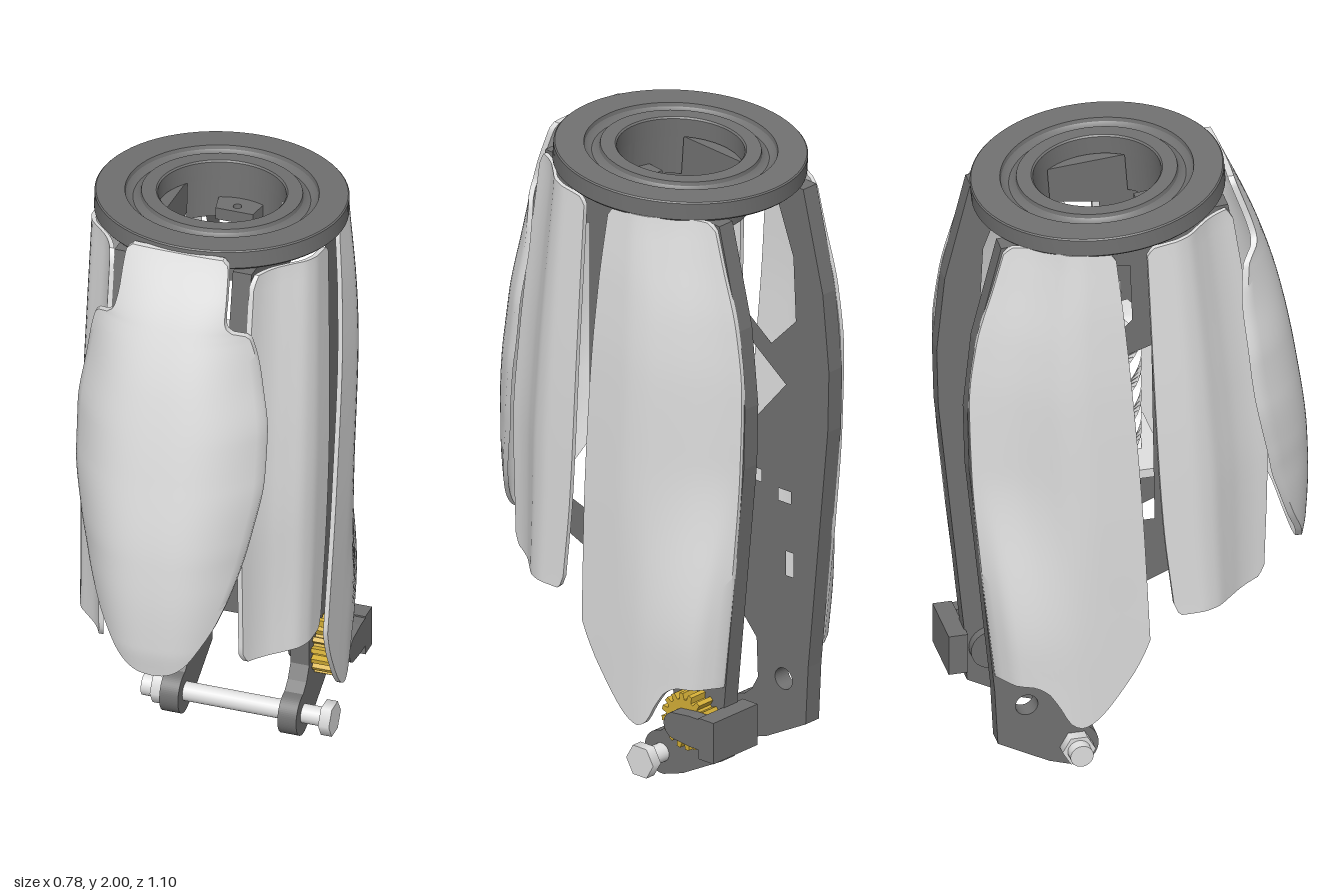
import * as THREE from 'three';
import { toCreasedNormals } from 'three/addons/utils/BufferGeometryUtils.js';

// smooth monotone interpolation through [position, value] pairs
function at(table, p) {
  const n = table.length - 1;
  if (p <= table[0][0]) return table[0][1];
  if (p >= table[n][0]) return table[n][1];
  let i = 0;
  while (p > table[i + 1][0]) i++;
  const slope = k => (table[k + 1][1] - table[k][1]) / (table[k + 1][0] - table[k][0]);
  const tangent = k => {
    if (k === 0) return slope(0);
    if (k === n) return slope(n - 1);
    const a = slope(k - 1), b = slope(k);
    return a * b <= 0 ? 0 : 2 * a * b / (a + b);
  };
  const h = table[i + 1][0] - table[i][0], u = (p - table[i][0]) / h, w = 1 - u;
  return table[i][1] * (1 + 2 * u) * w * w + table[i + 1][1] * u * u * (3 - 2 * u)
    + h * u * w * (tangent(i) * w - tangent(i + 1) * u);
}

// thin curved panel: point(t, v) gives the outer skin, offset the inner skin
function panel(point, offset, nt = 28, nv = 44) {
  const pos = [], index = [], loop = 2 * (nt + 1);
  for (let j = 0; j <= nv; j++) {
    for (let k = 0; k < loop; k++) {
      const inner = k > nt, i = inner ? loop - 1 - k : k;
      const p = point(i / nt, j / nv);
      pos.push(...p.map((c, a) => c + (inner ? offset[a] : 0)));
    }
  }
  for (let j = 0; j < nv; j++) {
    for (let k = 0; k < loop; k++) {
      const a = j * loop + k, b = j * loop + (k + 1) % loop;
      index.push(a, b, b + loop, a, b + loop, a + loop);
    }
  }
  for (const base of [0, nv * loop]) {
    for (let i = 0; i < nt; i++) {
      const a = base + i, b = base + i + 1, c = base + loop - 2 - i, d = base + loop - 1 - i;
      if (base) index.push(a, b, c, a, c, d);
      else index.push(a, c, b, a, d, c);
    }
  }
  const g = new THREE.BufferGeometry();
  g.setAttribute('position', new THREE.Float32BufferAttribute(pos, 3));
  g.setIndex(index);
  return toCreasedNormals(g.toNonIndexed(), 0.7);
}

const vecs = pts => pts.map(p => new THREE.Vector2(p[0], p[1]));

export function createModel() {
  const dark = new THREE.MeshStandardMaterial({ color: 0x717171 });
  const light = new THREE.MeshStandardMaterial({ color: 0xe0e0e0, side: THREE.DoubleSide });
  const gold = new THREE.MeshStandardMaterial({ color: 0xd4af37 });
  dark.name = 'dark grey'; light.name = 'light grey'; gold.name = 'gold';
  const model = new THREE.Group();
  model.name = 'legSegment';

  const add = (name, geo, mat, x = 0, y = 0, z = 0) => {
    const m = new THREE.Mesh(geo, mat);
    m.name = name;
    m.position.set(x, y, z);
    model.add(m);
    return m;
  };
  const box = (name, mat, x0, x1, y0, y1, z0, z1) =>
    add(name, new THREE.BoxGeometry(x1 - x0, y1 - y0, z1 - z0), mat, (x0 + x1) / 2, (y0 + y1) / 2, (z0 + z1) / 2);
  const rod = (name, mat, r, x0, x1, y, z, sides = 24) => {
    const g = new THREE.CylinderGeometry(r, r, x1 - x0, sides).rotateZ(Math.PI / 2);
    return add(name, g, mat, (x0 + x1) / 2, y, z);
  };
  // extrude a (z, y) outline across x, from x0 to x1
  const sideExtrude = (name, shape, mat, x0, x1, y = 0, z = 0) => {
    const g = new THREE.ExtrudeGeometry(shape, { depth: x1 - x0, bevelEnabled: false, curveSegments: 20 });
    g.rotateY(-Math.PI / 2);
    return add(name, g, mat, x1, y, z);
  };

  // tilted top ring with a round groove
  const turned = (name, pts, start = 0, sweep = Math.PI * 2) => {
    const g = new THREE.LatheGeometry(vecs(pts), 72, start, sweep);
    add(name, toCreasedNormals(g.toNonIndexed(), 0.5), dark, 0, 1.968, -0.095).rotation.x = -0.075;
  };
  turned('topRing', [[0.195, -0.065], [0.38, -0.065], [0.387, -0.058], [0.387, -0.004], [0.383, 0], [0.295, 0],
    [0.292, -0.012], [0.283, -0.021], [0.27, -0.025], [0.257, -0.021], [0.248, -0.012], [0.245, 0], [0.2, 0],
    [0.195, -0.005], [0.195, -0.065]]);

  // hub walls and mounting tabs, front and rear of the bore
  for (const turn of [0, Math.PI]) {
    turned('hubWall', [[0.195, -0.19], [0.22, -0.19], [0.22, -0.06], [0.195, -0.06], [0.195, -0.19]], turn - 0.9, 1.8);
    const tab = new THREE.Shape(vecs([[-0.075, 0.2], [0.075, 0.2], [0.06, 0.12], [-0.06, 0.12]]));
    tab.holes.push(new THREE.Path().absarc(0, 0.15, 0.013, 0, Math.PI * 2));
    const g = new THREE.ExtrudeGeometry(tab, { depth: 0.04, bevelEnabled: false }).rotateX(Math.PI / 2);
    add('boreTab', g.rotateY(turn), dark, 0, 1.83, -0.085);
  }

  // side frame plates with truss openings and rounded feet
  const outline = new THREE.Shape();
  outline.moveTo(-0.45, 1.875);
  for (const [z, y] of [[0.26, 1.925], [0.3, 1.7], [0.36, 1.25], [0.36, 0.77], [-0.02, 0.61], [-0.12, 0.5],
    [-0.26, 0.34], [-0.265, 0.21], [-0.24, 0.165]]) outline.lineTo(z, y);
  outline.absarc(-0.215, 0.07, 0.07, 1.5, -1.7, true);
  for (const [z, y] of [[-0.3, 0.025], [-0.46, 0.11], [-0.47, 0.3], [-0.52, 0.8], [-0.55, 1.1], [-0.555, 1.3],
    [-0.53, 1.55]]) outline.lineTo(z, y);
  outline.closePath();
  const openings = [
    [[-0.41, 1.64], [-0.35, 1.8], [-0.1, 1.85], [-0.05, 1.83], [-0.04, 1.56], [-0.1, 1.5], [-0.32, 1.33], [-0.42, 1.43]],
    [[-0.38, 1.21], [-0.1, 1.42], [0.02, 1.46], [0.03, 0.84], [-0.02, 0.84], [-0.18, 0.98]],
    [[0.08, 1.82], [0.2, 1.83], [0.29, 1.25], [0.29, 0.85], [0.08, 0.78]],
    [[-0.4, 0.86], [-0.35, 0.86], [-0.35, 0.82], [-0.4, 0.82]],
    [[-0.41, 0.66], [-0.38, 0.66], [-0.38, 0.58], [-0.41, 0.58]],
    [[-0.28, 0.9], [-0.25, 0.9], [-0.25, 0.86], [-0.28, 0.86]],
  ];
  for (const o of openings) outline.holes.push(new THREE.Path(vecs(o)));
  outline.holes.push(new THREE.Path().absarc(-0.37, 0.235, 0.035, 0, Math.PI * 2));
  sideExtrude('leftFramePlate', outline, dark, 0.16, 0.22);
  sideExtrude('rightFramePlate', outline, dark, -0.22, -0.16);

  // cross members and the tray between the plates
  box('upperCrossBar', dark, -0.17, 0.17, 0.91, 0.95, -0.04, 0.0);
  box('lowerCrossBar', dark, -0.17, 0.17, 0.68, 0.82, -0.035, 0.0);
  box('tray', light, -0.16, 0.16, 0.95, 0.98, -0.25, 0.09);
  box('trayFoot', light, -0.16, 0.16, 0.64, 0.7, 0.0, 0.03);

  // twisted four-armed core
  const a = 0.04, r = 0.11;
  const cross = new THREE.Shape(vecs([[a, a], [a, r], [-a, r], [-a, a], [-r, a], [-r, -a], [-a, -a], [-a, -r],
    [a, -r], [a, -a], [r, -a], [r, a]]));
  const core = new THREE.ExtrudeGeometry(cross, { depth: 0.47, steps: 48, bevelEnabled: false });
  const p = core.attributes.position, v = new THREE.Vector3(), axis = new THREE.Vector3(0, 0, 1);
  for (let i = 0; i < p.count; i++) {
    v.fromBufferAttribute(p, i).applyAxisAngle(axis, p.getZ(i) * 14);
    p.setXYZ(i, v.x, v.y, v.z);
  }
  core.rotateX(-Math.PI / 2);
  add('twistedCore', toCreasedNormals(core, 0.6), light, 0, 0.98, -0.075);

  // side shells: t runs from the middle gap to the outer front or rear edge
  const bend = [[0, 1], [0.28, 0.99], [0.44, 0.88], [0.6, 0.57], [0.73, 0.31], [0.87, 0.12], [1, 0]];
  const lowBend = [[0, 1], [0.44, 0.97], [0.7, 0.82], [0.88, 0.6], [1, 0]];
  const shells = [
    { name: 'RearShell',
      girth: [[0.2, 0.352], [0.6, 0.37], [1, 0.384], [1.4, 0.39], [1.65, 0.383], [1.9, 0.365]],
      gap: [[0.5, -0.02], [1, -0.05], [1.6, -0.1], [1.9, -0.13]],
      edge: [[0.35, -0.47], [0.8, -0.52], [1.1, -0.545], [1.35, -0.552], [1.55, -0.53], [1.75, -0.475], [1.88, -0.44]],
      low: [[0, 0.5], [0.04, 0.45], [0.13, 0.37], [0.4, 0.215], [0.46, 0.205], [0.53, 0.22], [0.62, 0.29], [0.7, 0.34], [0.8, 0.36], [1, 0.36]],
      high: [[0, 1.87], [0.07, 1.9], [0.93, 1.885], [1, 1.86]],
      flare: y => 1 - THREE.MathUtils.smoothstep(y, 0.45, 1.1) },
    { name: 'FrontShell',
      girth: [[0.6, 0.37], [1.2, 0.378], [1.9, 0.365]],
      gap: [[0.6, 0.055], [0.9, 0.02], [1.2, 0.0], [1.9, -0.03]],
      edge: [[0.62, 0.37], [1, 0.38], [1.3, 0.355], [1.6, 0.315], [1.9, 0.27]],
      low: [[0, 0.62], [0.03, 0.59], [0.08, 0.577], [0.5, 0.58], [0.93, 0.595], [1, 0.63]],
      high: [[0, 1.87], [0.07, 1.895], [0.93, 1.92], [1, 1.88]],
      flare: () => 0 },
  ];
  for (const s of [1, -1]) {
    for (const k of shells) {
      const point = (t, w) => {
        const y = THREE.MathUtils.lerp(at(k.low, t), at(k.high, t), w);
        const z = THREE.MathUtils.lerp(at(k.gap, y), at(k.edge, y), t);
        const b = THREE.MathUtils.lerp(at(bend, t), at(lowBend, t), k.flare(y));
        return [s * (0.232 + (at(k.girth, y) - 0.232) * b), y, z];
      };
      add((s > 0 ? 'left' : 'right') + k.name, panel(point, [-0.015 * s, 0, 0]), light);
    }
  }

  // front shield: narrow neck at the top, sides curling back, set slightly to the right
  const half = [[0.602, 0.0], [0.606, 0.035], [0.62, 0.07], [0.65, 0.105], [0.7, 0.14], [0.78, 0.185], [0.92, 0.235],
    [1.07, 0.272], [1.25, 0.3], [1.4, 0.302], [1.55, 0.283], [1.725, 0.25], [1.745, 0.235], [1.765, 0.19],
    [1.8, 0.175], [1.95, 0.165], [1.97, 0.16], [1.98, 0.145]];
  const nose = [[0.6, 0.53], [0.7, 0.545], [0.85, 0.55], [1, 0.545], [1.29, 0.508], [1.55, 0.458], [1.76, 0.395], [1.98, 0.3]];
  const span = [[0.6, 0.12], [0.78, 0.185], [0.92, 0.235], [1.07, 0.272], [1.25, 0.3], [1.4, 0.302], [1.55, 0.283], [1.73, 0.25]];
  const curl = [[0.6, 0.03], [0.77, 0.075], [1, 0.145], [1.29, 0.17], [1.55, 0.148], [1.75, 0.085], [1.98, 0.02]];
  const shift = [[0.6, -0.006], [1.3, -0.014], [1.7, -0.014], [1.85, -0.005]];
  add('frontShield', panel((t, w) => {
    const y = 0.602 + 1.378 * (w < 0.3 ? w * w / 0.51 : (0.6 * w - 0.09) / 0.51);
    const x = (2 * t - 1) * at(half, y);
    return [x + at(shift, y), y, at(nose, y) - at(curl, y) * Math.abs(x / at(span, y)) ** 2.8];
  }, [0, 0, -0.02], 32, 110), light);

  // pivot bolt with hex head and nut
  rod('boltShaft', light, 0.03, -0.28, 0.3, 0.07, -0.215);
  rod('boltHead', light, 0.055, 0.285, 0.32, 0.07, -0.215, 6);
  rod('boltNut', light, 0.052, -0.257, -0.222, 0.07, -0.215, 6);
  rod('boltEnd', light, 0.036, -0.292, -0.255, 0.07, -0.215);

  // gold gear on the left foot
  const teeth = 16, rim = [];
  for (let i = 0; i < teeth; i++) {
    for (const [f, rad] of [[0, 0.072], [0.3, 0.072], [0.45, 0.092], [0.85, 0.092]]) {
      const ang = (i + f) / teeth * Math.PI * 2;
      rim.push([rad * Math.cos(ang), rad * Math.sin(ang)]);
    }
  }
  sideExtrude('gear', new THREE.Shape(vecs(rim)), gold, 0.222, 0.285, 0.235, -0.365);

  // clip that holds the gear
  const arm = new THREE.Shape();
  arm.moveTo(-0.16, 0.05);
  arm.lineTo(-0.06, 0.05);
  arm.lineTo(0, 0.043);
  arm.absarc(0, 0, 0.043, Math.PI / 2, -Math.PI / 2, true);
  arm.lineTo(-0.06, -0.05);
  arm.lineTo(-0.16, -0.05);
  arm.closePath();
  sideExtrude('gearClipArm', arm, dark, 0.285, 0.33, 0.235, -0.365);
  box('gearClipBack', dark, 0.13, 0.33, 0.155, 0.29, -0.525, -0.465);
  rod('gearAxle', dark, 0.034, 0.13, 0.3, 0.235, -0.37);
  rod('gearBoss', dark, 0.065, 0.13, 0.16, 0.225, -0.39);

  return model;
}
